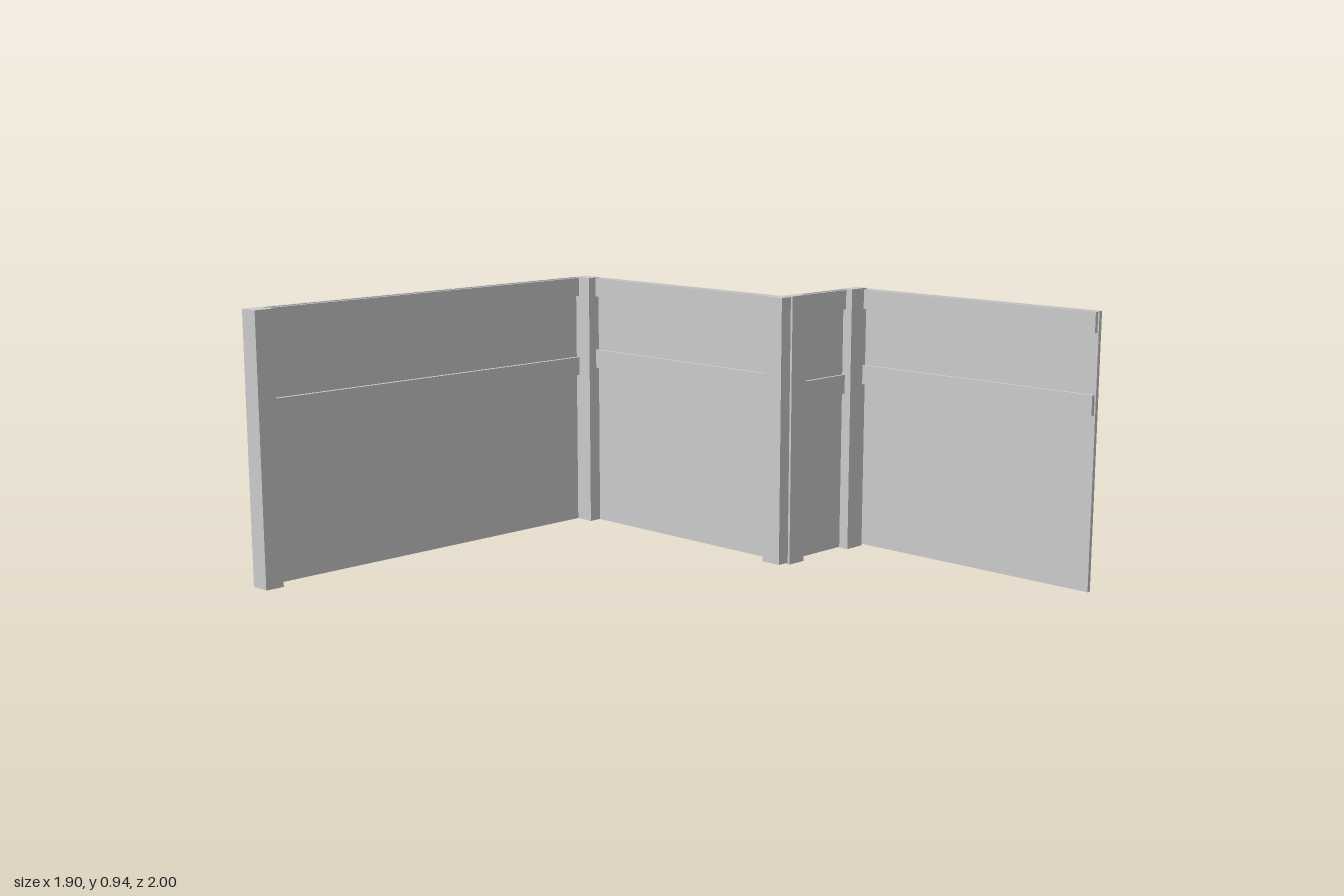
import * as THREE from 'three';

const material = new THREE.MeshStandardMaterial({ color: 0xcccccc, flatShading: true });

// Box given by its limits along each axis
function block(name, [x0, x1], [y0, y1], [z0, z1]) {
  const mesh = new THREE.Mesh(new THREE.BoxGeometry(x1 - x0, y1 - y0, z1 - z0), material);
  mesh.name = name;
  mesh.position.set((x0 + x1) / 2, (y0 + y1) / 2, (z0 + z1) / 2);
  return mesh;
}

// Fence run: a thin board wall with two horizontal rails on its inner face
function fenceRun(name, wallX, wallZ, railX, railZ, y0, y1, railHeights) {
  const run = new THREE.Group();
  run.name = name;
  run.add(block('boardWall', wallX, [y0, y1], wallZ));
  for (const y of railHeights) run.add(block('rail', railX, [y, y + 0.068], railZ));
  return run;
}

export function createModel() {
  const fence = new THREE.Group();
  fence.name = 'steppedFence';

  // Four runs in a stepped line
  fence.add(
    fenceRun('backRun', [-0.95, 0.555], [-1, -0.985], [-0.95, 0.53], [-0.985, -0.97], 0.01, 0.936, [0.866, 0.567]),
    fenceRun('innerSideRun', [0.542, 0.556], [-0.999, 0], [0.528, 0.542], [-0.985, 0], 0.01, 0.936, [0.866, 0.597]),
    fenceRun('middleRun', [0.543, 0.948], [0, 0.012], [0.543, 0.937], [0.012, 0.024], 0.006, 0.938, [0.868, 0.567]),
    fenceRun('frontSideRun', [0.936, 0.95], [0.001, 1], [0.922, 0.936], [0.012, 0.995], 0.01, 0.936, [0.866, 0.597])
  );

  // Posts at the ends and corners
  fence.add(
    block('endPost', [-0.952, -0.884], [0.012, 0.937], [-0.985, -0.924]),
    block('backCornerPost', [0.494, 0.542], [0.01, 0.937], [-0.985, -0.914]),
    block('innerCornerPost', [0.494, 0.543], [0.01, 0.937], [-0.034, 0.042]),
    block('middleRunPost', [0.54, 0.615], [0.004, 0.94], [0.008, 0.05]),
    block('frontCornerPost', [0.856, 0.936], [0.004, 0.94], [0.008, 0.05])
  );

  // The inner corner post needs its upper face clear of the thin wall it meets
  fence.getObjectByName('innerCornerPost').scale.y = 1.001;
  return fence;
}
